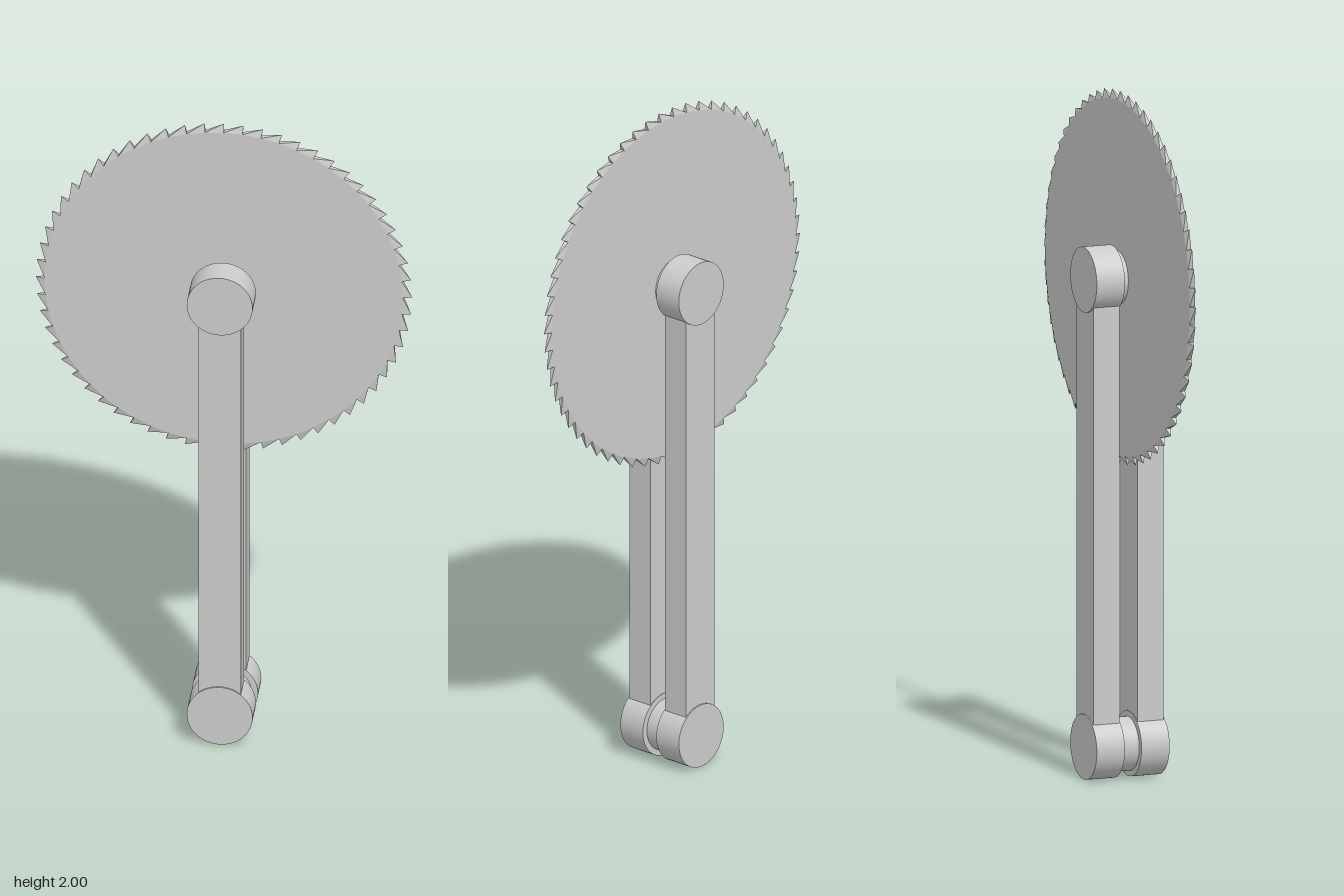
import * as THREE from 'three';

const HUB_Y = 1.457, FOOT_Y = 0.095;
const material = new THREE.MeshStandardMaterial({ color: 0xcccccc });
const bladeMaterial = new THREE.MeshStandardMaterial({ color: 0xcccccc, flatShading: true });

function add(group, name, geometry, x, y, z, mat = material) {
  const mesh = new THREE.Mesh(geometry, mat);
  mesh.name = name;
  mesh.position.set(x, y, z);
  group.add(mesh);
}

// cylinder lying along z
function disc(radius, length) {
  return new THREE.CylinderGeometry(radius, radius, length, 64).rotateX(Math.PI / 2);
}

// flat disc with raked teeth, each bevelled to a point on the mid plane
function sawBlade(teeth, rootRadius, tipRadius, half) {
  const pos = [];
  const tri = (...corners) => corners.forEach((c) => pos.push(...c));
  const point = (r, turn, z) => {
    const a = Math.PI / 2 - (turn / teeth) * Math.PI * 2;
    return [r * Math.cos(a), r * Math.sin(a), z];
  };
  for (let i = 0; i < teeth; i++) {
    const f0 = point(rootRadius, i - 1, half), f1 = point(rootRadius, i, half);
    const b0 = point(rootRadius, i - 1, -half), b1 = point(rootRadius, i, -half);
    const tip = point(tipRadius, i, 0);
    tri([0, 0, half], f1, f0); // side faces
    tri([0, 0, -half], b0, b1);
    tri(f0, f1, tip); // tooth bevels
    tri(b1, b0, tip);
    tri(b0, f0, tip); // long back of the tooth
    tri(f1, b1, tip); // steep cutting face
  }
  // keep every triangle facing away from the blade's inside
  const v = [0, 3, 6].map(() => new THREE.Vector3());
  for (let i = 0; i < pos.length; i += 9) {
    v.forEach((p, k) => p.fromArray(pos, i + k * 3));
    const n = v[1].clone().sub(v[0]).cross(v[2].clone().sub(v[0]));
    const tooth = Math.floor(i / 54), face = (i / 9) % 6;
    const inside = new THREE.Vector3(...point(rootRadius * 0.99, tooth - 0.5, 0));
    if (face === 5) inside.set(...point(rootRadius, tooth - 0.5, 0));
    if (n.dot(v[0].clone().sub(inside)) < 0) {
      for (let k = 0; k < 3; k++) {
        [pos[i + 3 + k], pos[i + 6 + k]] = [pos[i + 6 + k], pos[i + 3 + k]];
      }
    }
  }
  const geometry = new THREE.BufferGeometry();
  geometry.setAttribute('position', new THREE.Float32BufferAttribute(pos, 3));
  geometry.computeVertexNormals();
  return geometry;
}

export function createModel() {
  const model = new THREE.Group();
  model.name = 'sawBladeOnArms';

  add(model, 'blade', sawBlade(60, 0.517, 0.543, 0.008), 0, HUB_Y, 0, bladeMaterial);

  // axles joining the two sides
  add(model, 'topAxle', disc(0.078, 0.08), 0, HUB_Y, 0);
  add(model, 'bottomAxle', disc(0.078, 0.08), 0, FOOT_Y, 0);

  // mirrored arms with round end caps
  for (const side of [1, -1]) {
    const tag = side > 0 ? 'front' : 'back';
    add(model, tag + 'Arm', new THREE.BoxGeometry(0.122, HUB_Y - FOOT_Y, 0.082), 0, (HUB_Y + FOOT_Y) / 2, side * 0.069);
    add(model, tag + 'TopCap', disc(0.095, 0.088), 0, HUB_Y, side * 0.07);
    add(model, tag + 'BottomCap', disc(0.095, 0.088), 0, FOOT_Y, side * 0.07);
  }
  return model;
}
